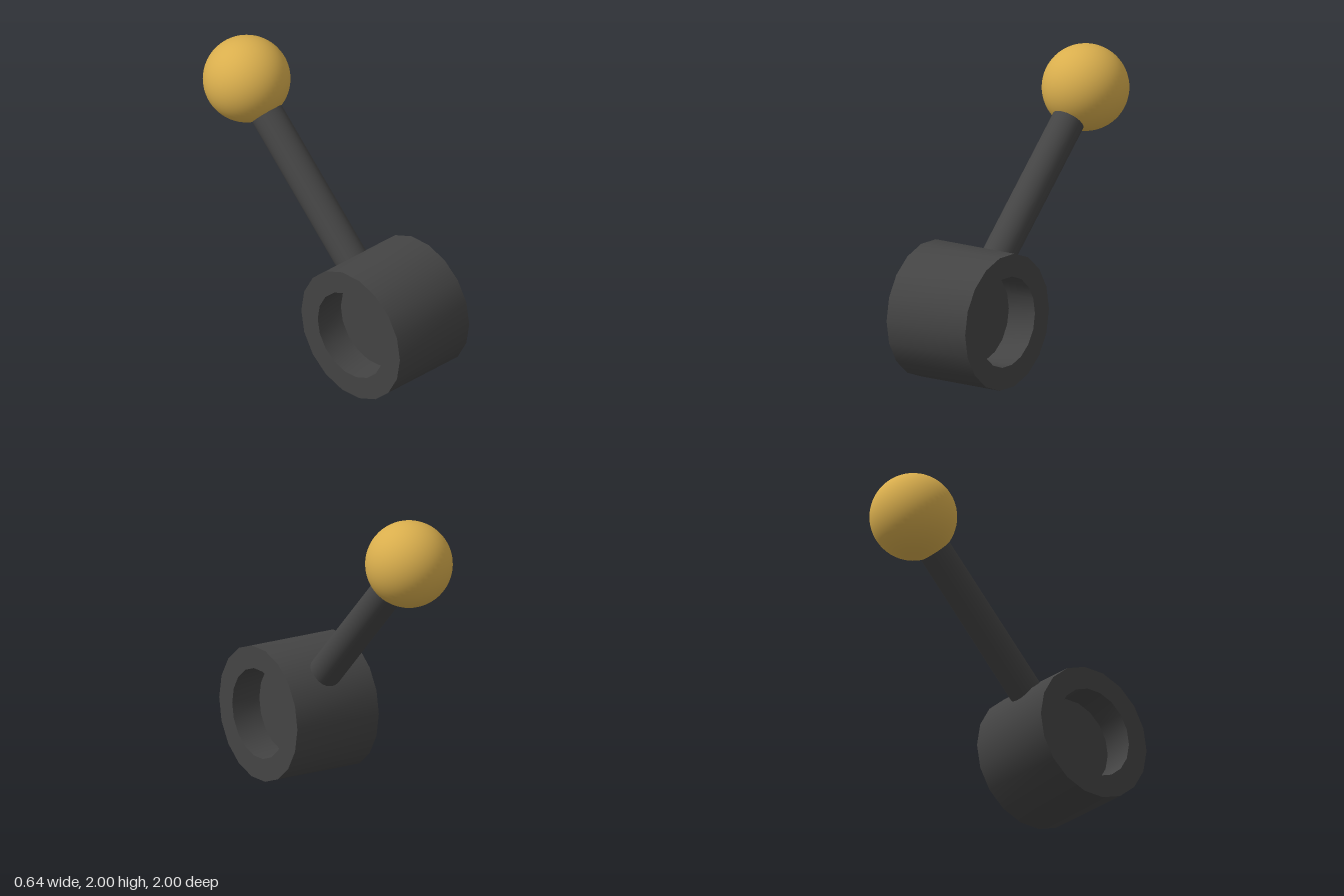
import * as THREE from 'three';
import { toCreasedNormals } from 'three/addons/utils/BufferGeometryUtils.js';

export function createModel() {
  const darkMetal = new THREE.MeshStandardMaterial({ color: 0x444444 });
  darkMetal.name = 'dark metal';
  const brass = new THREE.MeshStandardMaterial({ color: 0xd9ae4d });
  brass.name = 'brass';

  const model = new THREE.Group();
  model.name = 'lever';
  const add = (name, geometry, material) => {
    const mesh = new THREE.Mesh(geometry, material);
    mesh.name = name;
    model.add(mesh);
    return mesh;
  };

  const hubCentre = new THREE.Vector3(0, 0.443, 0.55);
  const knobCentre = new THREE.Vector3(0, 1.715, -0.715);

  // Hub: 18-sided drum lying along x, with a round recess in each end
  const half = 0.32, web = 0.107, outer = 0.45, inner = 0.3;
  const profile = [
    [0, -web], [inner, -web], [inner, -half], [outer, -half],
    [outer, half], [inner, half], [inner, web], [0, web],
  ].map(([r, h]) => new THREE.Vector2(r, h));
  const hub = toCreasedNormals(new THREE.LatheGeometry(profile, 18), 0.6);
  hub.rotateZ(Math.PI / 2);
  add('hub', hub, darkMetal).position.copy(hubCentre);

  // Shaft: leans back from inside the hub wall into the knob
  const direction = knobCentre.clone().sub(hubCentre);
  const length = direction.length();
  direction.normalize();
  const start = 0.38, end = length - 0.15;
  const shaft = add('shaft', new THREE.CylinderGeometry(0.11, 0.11, end - start, 32), darkMetal);
  shaft.position.copy(hubCentre).addScaledVector(direction, (start + end) / 2);
  shaft.quaternion.setFromUnitVectors(new THREE.Vector3(0, 1, 0), direction);

  // Knob
  add('knob', new THREE.SphereGeometry(0.285, 48, 32), brass).position.copy(knobCentre);

  return model;
}
